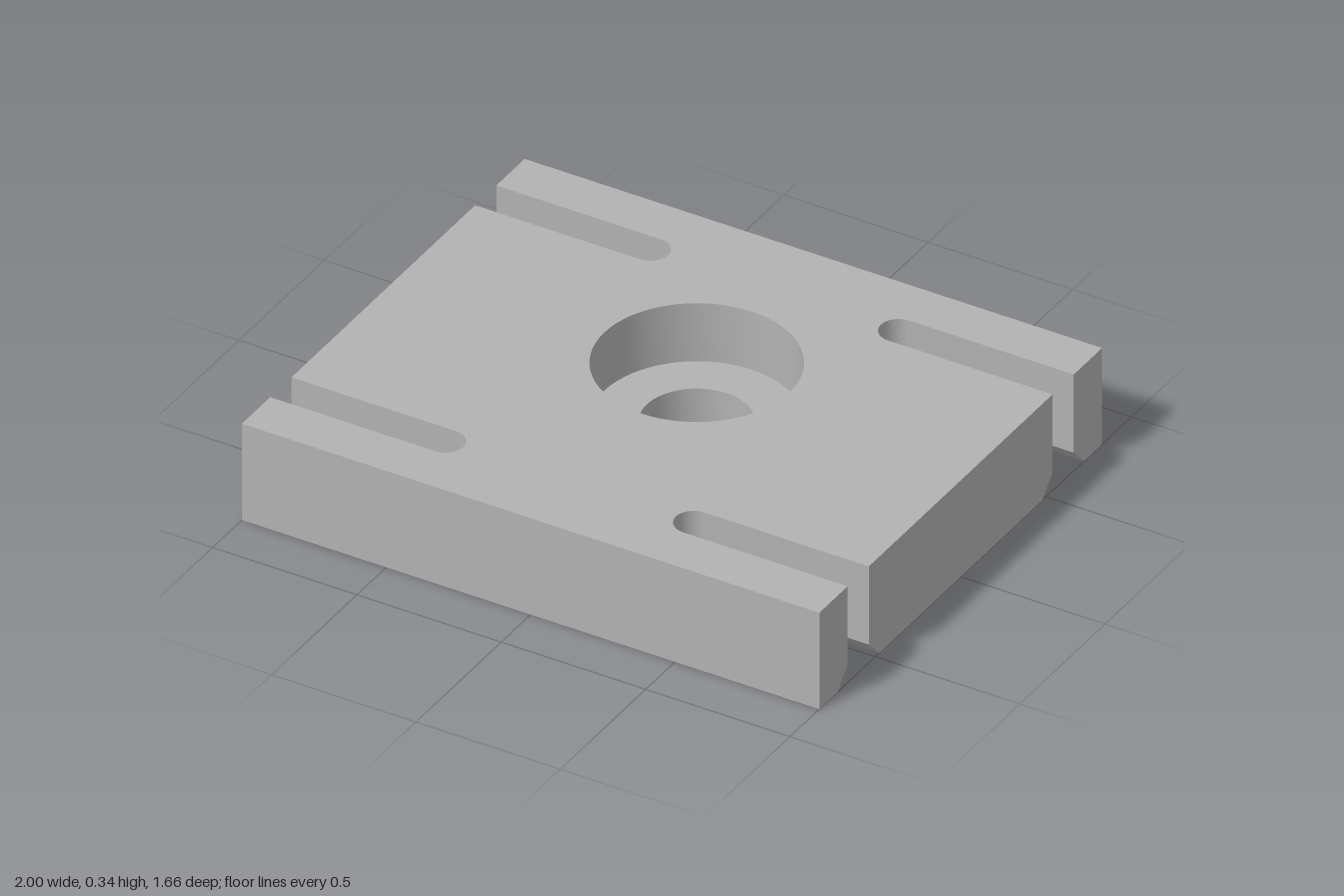
import * as THREE from 'three';
import { mergeVertices, toCreasedNormals } from 'three/addons/utils/BufferGeometryUtils.js';

const W = 1, D = 0.828, H = 0.345;              // half width, half depth, height
const SLOT_Z = 0.6, SLOT_X = 0.43;              // slot centre line and end-arc centre
const SLOT_R = 0.062, CHAMFER_R = 0.122, CHAMFER_H = 0.065;
const BORE_Z = -0.145, HOLE_R = 0.173, BORE_R = 0.32, FLOOR_Y = 0.137;
const SEG = 64;

// Plan outline, counter-clockwise, with four open slots of half width r
function outline(r) {
  const half = [[W, -D]];
  for (const c of [-SLOT_Z, SLOT_Z]) {
    half.push([W, c - r]);
    for (let i = 0; i <= 16; i++) {
      const t = -Math.PI / 2 + (Math.PI * i) / 16;
      half.push([SLOT_X - r * Math.cos(t), c + r * Math.sin(t)]);
    }
    half.push([W, c + r]);
  }
  half.push([W, D]);
  return [...half, ...half.map(([x, s]) => [-x, -s])];
}

// Flat face with a round hole; facing is 1 for up, -1 for down
function cap(slotR, holeR, y, facing) {
  const shape = new THREE.Shape(outline(slotR).map(([x, s]) => new THREE.Vector2(x, s)));
  const hole = [];
  for (let i = 0; i < SEG; i++) {
    const a = (2 * Math.PI * i) / SEG;
    hole.push(new THREE.Vector2(holeR * Math.sin(a), -facing * BORE_Z + holeR * Math.cos(a)));
  }
  shape.holes.push(new THREE.Path(hole));
  return new THREE.ShapeGeometry(shape).rotateX((-facing * Math.PI) / 2).translate(0, y, 0);
}

// Side walls lofted through the slot half width at each level
function walls(levels) {
  const pos = [];
  for (let k = 0; k < levels.length - 1; k++) {
    const [r0, y0] = levels[k], [r1, y1] = levels[k + 1];
    const lo = outline(r0), hi = outline(r1);
    lo.forEach((p, i) => {
      const j = (i + 1) % lo.length;
      const a = [p[0], y0, -p[1]], b = [lo[j][0], y0, -lo[j][1]];
      const c = [hi[j][0], y1, -hi[j][1]], d = [hi[i][0], y1, -hi[i][1]];
      pos.push(...a, ...b, ...c, ...a, ...c, ...d);
    });
  }
  const g = new THREE.BufferGeometry();
  g.setAttribute('position', new THREE.Float32BufferAttribute(pos, 3));
  return toCreasedNormals(mergeVertices(g), 0.5);
}

export function createModel() {
  const group = new THREE.Group();
  group.name = 'slottedPlate';
  const grey = new THREE.MeshStandardMaterial({ color: 0xb2b2b2 });
  grey.name = 'grey';
  const add = (name, geometry) => {
    const mesh = new THREE.Mesh(geometry, grey);
    mesh.name = name;
    group.add(mesh);
  };

  add('topFace', cap(SLOT_R, BORE_R, H, 1));
  add('bottomFace', cap(CHAMFER_R, HOLE_R, 0, -1));
  add('sidesAndSlots', walls([[CHAMFER_R, 0], [SLOT_R, CHAMFER_H], [SLOT_R, H]]));

  // Stepped bore, running downwards so its surface faces inwards
  const profile = [[BORE_R, H], [BORE_R, FLOOR_Y], [HOLE_R, FLOOR_Y], [HOLE_R, 0]]
    .map(([r, y]) => new THREE.Vector2(r, y));
  const bore = toCreasedNormals(new THREE.LatheGeometry(profile, SEG), 0.5);
  add('counterbore', bore.translate(0, 0, BORE_Z));
  return group;
}
